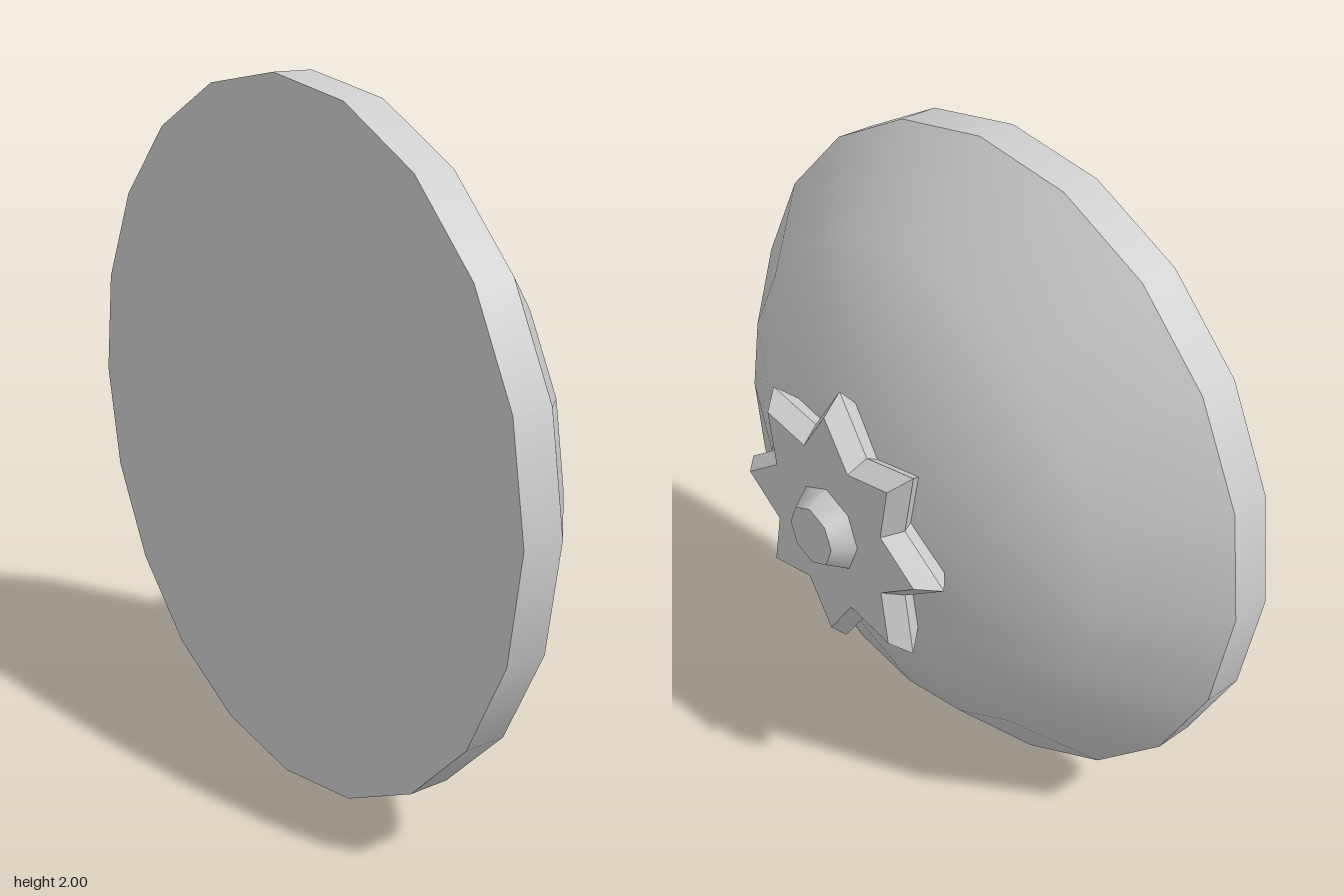
import * as THREE from 'three';

export function createModel() {
  const grey = new THREE.MeshStandardMaterial({ color: 0xcccccc });
  grey.name = 'grey';

  const model = new THREE.Group();
  model.name = 'domedDisc';
  // Parts are built along +y, then the axis is turned to point backwards (-z)
  const body = new THREE.Group();
  body.name = 'body';
  body.rotation.x = -Math.PI / 2;
  body.position.y = 1;
  model.add(body);

  const add = (name, geometry, y = 0) => {
    const mesh = new THREE.Mesh(geometry, grey);
    mesh.name = name;
    mesh.position.y = y;
    body.add(mesh);
  };

  // Flat front plate with its straight rim
  add('rimPlate', new THREE.CylinderGeometry(1, 1, 0.12, 20), -0.3);

  // Smooth shallow dome on the back
  const profile = [[1, -0.24], [0.745, 0], [0.4, 0.19], [0, 0.21]];
  add('dome', new THREE.LatheGeometry(profile.map(([r, y]) => new THREE.Vector2(r, y)), 20));

  // Eight-pointed star, widest at mid thickness
  const star = new THREE.CylinderGeometry(1, 1, 0.11, 16, 2).toNonIndexed();
  const pos = star.attributes.position;
  for (let i = 0; i < pos.count; i++) {
    const x = pos.getX(i), y = pos.getY(i), z = pos.getZ(i);
    const step = Math.round(Math.atan2(x, z) / (Math.PI / 8));
    const radius = (step % 2 === 0 ? 0.42 : 0.285) * (Math.abs(y) > 0.01 ? 0.86 : 1);
    pos.setXYZ(i, x * radius, y, z * radius);
  }
  star.computeVertexNormals();
  add('star', star, 0.245);

  // Tapered hub in the middle of the star
  add('hub', new THREE.CylinderGeometry(0.09, 0.135, 0.07, 8), 0.325);

  return model;
}
